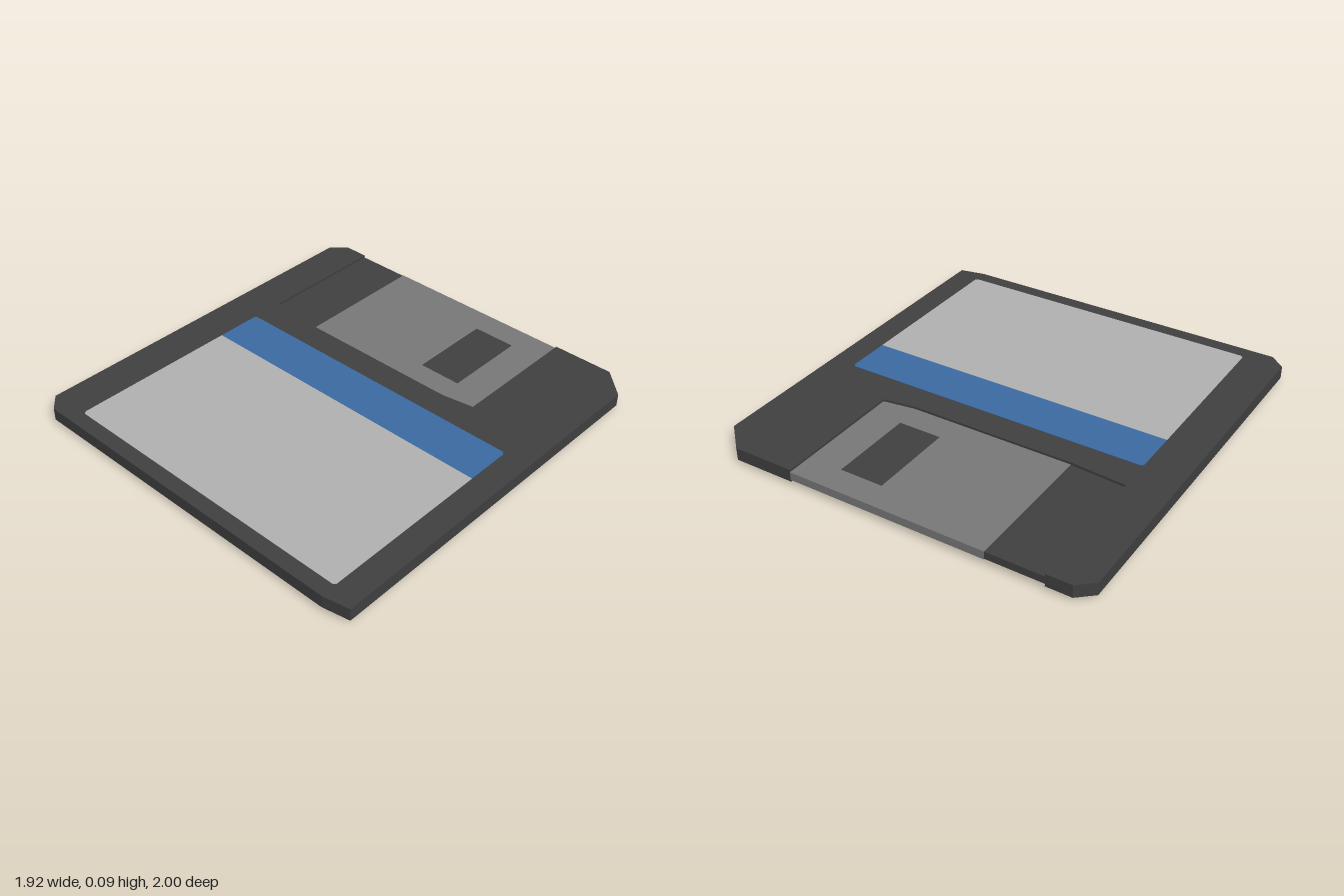
import * as THREE from 'three';

const mat = (name, color) => {
  const m = new THREE.MeshStandardMaterial({ color });
  m.name = name;
  return m;
};

export function createModel() {
  const plastic = mat('dark plastic', 0x404040);
  const metal = mat('grey metal', 0x787878);
  const paper = mat('label paper', 0xb2b2b2);
  const blue = mat('label blue', 0x3b6aa2);

  const group = new THREE.Group();
  group.name = 'floppyDisk';

  // Outlines are given as [x, z] points on the flat plan
  const plan = (pts) => pts.map(([x, z]) => new THREE.Vector2(x, -z));

  // Extrudes a plan outline upward from y0 to y1
  function slab(name, pts, y0, y1, material, holes = []) {
    const shape = new THREE.Shape(plan(pts));
    holes.forEach((h) => shape.holes.push(new THREE.Path(plan(h))));
    const geo = new THREE.ExtrudeGeometry(shape, { depth: y1 - y0, bevelEnabled: false });
    geo.rotateX(-Math.PI / 2);
    const mesh = new THREE.Mesh(geo, material);
    mesh.position.y = y0;
    mesh.name = name;
    group.add(mesh);
  }

  const rect = (x0, x1, z0, z1) => [[x0, z0], [x1, z0], [x1, z1], [x0, z1]];
  const circle = (cx, cz, r, n) => Array.from({ length: n }, (_, i) => {
    const a = (i / n) * Math.PI * 2;
    return [cx + r * Math.cos(a), cz + r * Math.sin(a)];
  });

  // Casing: a full core between two faces notched for the shutter
  const bottom = 0.02, top = 0.083, recess = 0.013;
  const rim = [[0.83, -1], [0.96, -0.875], [0.96, 0.975], [0.83, 1],
    [-0.885, 1], [-0.96, 0.935], [-0.96, -0.935], [-0.885, -1]];
  const notch = [[-0.76, -1], [-0.76, -0.33], [-0.48, -0.31],
    [0.36, -0.31], [0.52, -0.335], [0.52, -1]];
  const notched = [...rim, ...notch];
  slab('casingCore', rim, bottom + recess, top - recess, plastic);
  slab('casingTop', notched, top - recess, top, plastic);
  slab('casingBottom', notched, bottom, bottom + recess, plastic);

  // Metal shutter: both faces with a window, joined over the back edge
  const shutter = [[-0.48, -1], [0.52, -1], [0.52, -0.335], [0.36, -0.31], [-0.48, -0.31]];
  const windowHole = rect(0.125, 0.345, -0.87, -0.44);
  const t = 0.002;
  slab('shutterTop', shutter, top - recess, top - recess + t, metal, [windowHole]);
  slab('shutterBottom', shutter, bottom + recess - t, bottom + recess, metal, [windowHole]);
  slab('shutterEdge', rect(-0.48, 0.52, -1.002, -1), bottom + recess - t, top - recess + t, metal);

  // Label with a blue heading band and tiny clipped corners
  const c = 0.012, l = -0.76, r = 0.83, zb = -0.17, zm = 0.065, zf = 0.925;
  slab('labelBand', [[l, zm], [l, zb + c], [l + c, zb], [r - c, zb], [r, zb + c], [r, zm]],
    top, top + t, blue);
  slab('labelSheet', [[l, zm], [r, zm], [r, zf - c], [r - c, zf], [l + c, zf], [l, zf - c]],
    top, top + t, paper);

  // Drive hub underneath, with a square centre hole and a round drive hole
  const hz = 0.07, s = 0.022;
  slab('driveHub', circle(0, hz, 0.283, 40), 0, bottom, metal,
    [rect(-s, s, hz - s, hz + s), circle(-0.12, hz - 0.12, 0.035, 16)]);

  return group;
}
